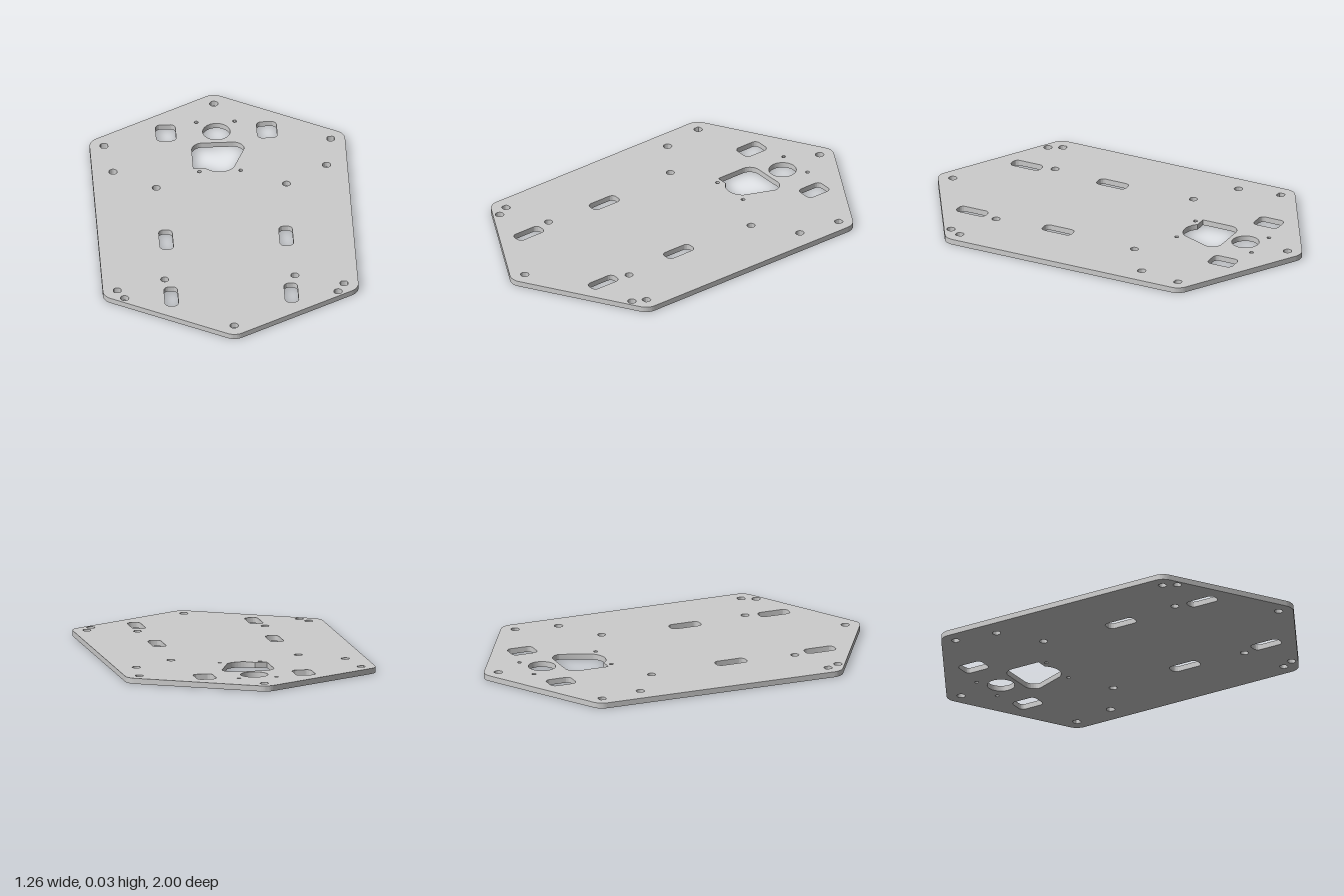
import * as THREE from 'three';
import { toCreasedNormals } from 'three/addons/utils/BufferGeometryUtils.js';

const THICKNESS = 0.028;

// Plan coordinates are (x, z); shapes are drawn with y = -z.
function roundHole(x, z, r) {
  return new THREE.Path().absarc(x, -z, r, 0, Math.PI * 2, false);
}

function roundedRectHole(x, z, w, h, r) {
  const path = new THREE.Path();
  const dx = w / 2 - r, dy = h / 2 - r;
  [[1, 1], [-1, 1], [-1, -1], [1, -1]].forEach(([sx, sy], i) =>
    path.absarc(x + sx * dx, -z + sy * dy, r, i * Math.PI / 2, (i + 1) * Math.PI / 2, false));
  return path.closePath();
}

// Elongated hexagon with rounded corners
function outline() {
  const r = 0.071, cx = 0.561, cy = 0.606, tip = 1 - r;
  const shape = new THREE.Shape();
  [[cx, cy], [0, tip], [-cx, cy], [-cx, -cy], [0, -tip], [cx, -cy]].forEach(([x, y], i) =>
    shape.absarc(x, y, r, i * Math.PI / 3, (i + 1) * Math.PI / 3, false));
  return shape.closePath();
}

// Large opening: rounded at the back, with a shallow arc bulging to the front
function mainOpening() {
  const w = 0.13, back = 0.603, front = 0.394, r = 0.055;
  const arcR = 0.089, arcY = 0.36 + arcR, a = Math.asin(0.07 / arcR);
  const path = new THREE.Path();
  path.moveTo(w, front);
  path.absarc(w - r, back - r, r, 0, Math.PI / 2, false);
  path.absarc(-w + r, back - r, r, Math.PI / 2, Math.PI, false);
  path.lineTo(-w, front);
  path.absarc(0, arcY, arcR, -Math.PI / 2 - a, -Math.PI / 2 + a, false);
  return path.closePath();
}

export function createModel() {
  const group = new THREE.Group();
  group.name = 'mountingPlate';
  const shape = outline();

  // Holes on the centre line
  shape.holes.push(
    mainOpening(),
    roundHole(0, -0.695, 0.068),
    roundHole(0, -0.928, 0.021),
    roundHole(0, 0.926, 0.021));

  // Mirrored pairs of holes
  for (const s of [-1, 1]) {
    // screw holes
    for (const [x, z, r] of [
      [0.528, -0.388, 0.021], [0.322, -0.243, 0.02],
      [0.322, 0.523, 0.02], [0.528, 0.668, 0.021],
      [0.095, -0.777, 0.01], [0.102, -0.366, 0.01],
    ]) shape.holes.push(roundHole(s * x, z, r));
    // corner holes, rear windows and cable slots
    for (const [x, z, w, h, r] of [
      [0.561, -0.606, 0.038, 0.038, 0.013], [0.561, 0.602, 0.038, 0.038, 0.013],
      [0.25, -0.697, 0.098, 0.134, 0.025],
      [0.297, 0.192, 0.067, 0.162, 0.025], [0.297, 0.667, 0.067, 0.16, 0.025],
    ]) shape.holes.push(roundedRectHole(s * x, z, w, h, r));
  }

  const geometry = new THREE.ExtrudeGeometry(shape, {
    depth: THICKNESS, bevelEnabled: false, curveSegments: 16,
  });
  geometry.rotateX(-Math.PI / 2);
  const plate = new THREE.Mesh(
    toCreasedNormals(geometry, Math.PI / 5),
    new THREE.MeshStandardMaterial({ color: 0xcccccc }));
  plate.name = 'plate';
  group.add(plate);
  return group;
}
